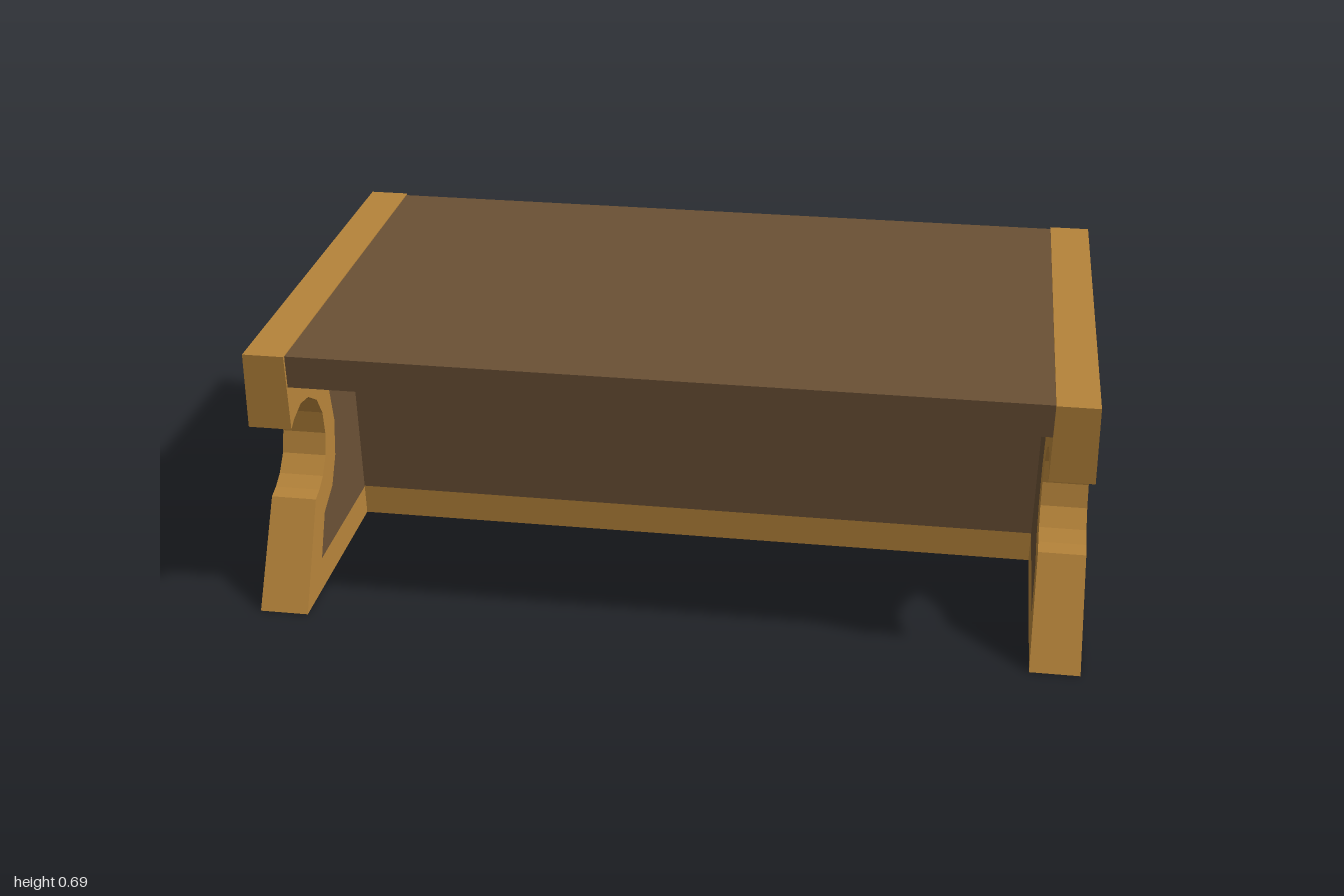
import * as THREE from 'three';

const gold = new THREE.MeshStandardMaterial({ color: 0xb5833a });
const brown = new THREE.MeshStandardMaterial({ color: 0x6a5035 });

// Half profiles as [z, y]
const outline = [
  [0.54, 0.685], [0.54, 0.495], [0.515, 0.51], [0.46, 0.525], [0.405, 0.515],
  [0.35, 0.48], [0.32, 0.43], [0.315, 0.37], [0.33, 0.315], [0.365, 0.275],
  [0.4, 0.255], [0.432, 0.245], [0.575, 0],
];
const inset = [
  [0.04, 0.605], [0.455, 0.605], [0.38, 0.585], [0.3, 0.535], [0.255, 0.46],
  [0.24, 0.37], [0.26, 0.28], [0.305, 0.215], [0.38, 0.18], [0.435, 0.078], [0.04, 0.078],
];

const toPoints = (list, side = 1) => list.map(([z, y]) => new THREE.Vector2(z * side, y));

// Extrude a side profile across x, slightly thicker at the foot than at the top
function extrudeAcross(shape) {
  const geo = new THREE.ExtrudeGeometry(shape, { depth: 1, bevelEnabled: false });
  geo.translate(0, 0, -0.5);
  geo.rotateY(-Math.PI / 2);
  const pos = geo.attributes.position;
  for (let i = 0; i < pos.count; i++) {
    pos.setX(i, pos.getX(i) * (0.12 - 0.03 * pos.getY(i)));
  }
  geo.computeVertexNormals();
  return geo;
}

function addMesh(parent, name, geometry, material) {
  const mesh = new THREE.Mesh(geometry, material);
  mesh.name = name;
  parent.add(mesh);
  return mesh;
}

function addBox(parent, name, width, y0, y1, depth, material) {
  const box = addMesh(parent, name, new THREE.BoxGeometry(width, y1 - y0, depth), material);
  box.position.y = (y0 + y1) / 2;
}

// End support: scalloped frame with two flush panels and a central upright
function createEnd(name) {
  const end = new THREE.Group();
  end.name = name;
  const frame = new THREE.Shape([...toPoints(outline), ...toPoints(outline, -1).reverse()]);
  for (const side of [1, -1]) frame.holes.push(new THREE.Path(toPoints(inset, side)));
  addMesh(end, 'endFrame', extrudeAcross(frame), gold);
  for (const side of [1, -1]) {
    const panel = new THREE.Shape(toPoints(inset, side));
    addMesh(end, side > 0 ? 'frontPanel' : 'backPanel', extrudeAcross(panel), brown);
  }
  return end;
}

export function createModel() {
  const table = new THREE.Group();
  table.name = 'lowTable';

  // Two end supports
  for (const side of [1, -1]) {
    const end = createEnd(side > 0 ? 'leftEnd' : 'rightEnd');
    end.position.x = 0.94 * side;
    table.add(end);
  }

  // Top board, central board and the rail below it
  addBox(table, 'topBoard', 1.78, 0.603, 0.683, 1.065, brown);
  addBox(table, 'centreBoard', 1.78, 0.08, 0.603, 0.12, brown);
  addBox(table, 'bottomRail', 1.78, 0, 0.08, 0.12, gold);

  return table;
}
